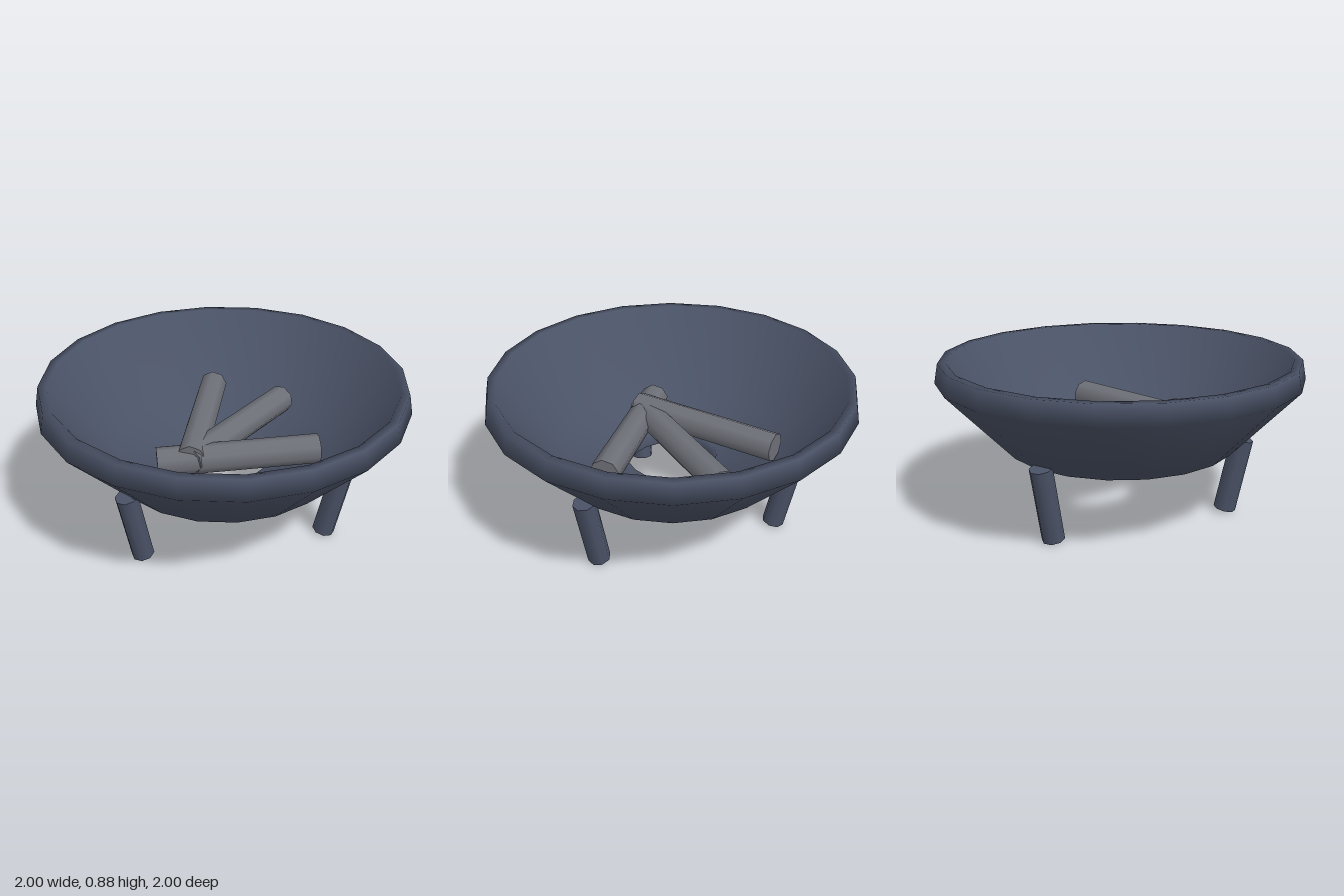
import * as THREE from 'three';

const UP = new THREE.Vector3(0, 1, 0);

// Round bar between two points
function bar(name, from, to, radius, sides, material) {
  const a = new THREE.Vector3(...from);
  const b = new THREE.Vector3(...to);
  const dir = b.clone().sub(a);
  const mesh = new THREE.Mesh(
    new THREE.CylinderGeometry(radius, radius, dir.length(), sides), material);
  mesh.name = name;
  mesh.position.copy(a).add(b).multiplyScalar(0.5);
  mesh.quaternion.setFromUnitVectors(UP, dir.normalize());
  return mesh;
}

export function createModel() {
  const group = new THREE.Group();
  group.name = 'fireBowl';
  const iron = new THREE.MeshStandardMaterial({ color: 0x4a5266 });
  const wood = new THREE.MeshStandardMaterial({ color: 0x6e7078 });

  // Bowl: thick shell with a flared rim and an open hole in the floor
  const profile = [
    [0.25, 0.31], [0.64, 0.40], [1.0, 0.78], [0.98, 0.885],
    [0.935, 0.885], [0.60, 0.47], [0.25, 0.39], [0.25, 0.31],
  ].map(([r, y]) => new THREE.Vector2(r, y));
  const bowl = new THREE.Mesh(new THREE.LatheGeometry(profile, 20), iron);
  bowl.name = 'bowl';
  group.add(bowl);

  // Three legs, leaning outwards towards the top
  for (let i = 0; i < 3; i++) {
    const angle = i * Math.PI * 2 / 3;
    const s = Math.sin(angle), c = Math.cos(angle);
    group.add(bar('leg', [0.594 * s, 0.016, 0.594 * c],
      [0.677 * s, 0.43, 0.677 * c], 0.062, 8, iron));
  }

  // Three logs meeting near the front of the bowl
  const logs = [
    [[-0.47, 0.55, -0.34], [0.095, 0.55, 0.32]],
    [[-0.085, 0.53, -0.54], [0.08, 0.535, 0.315]],
    [[0.457, 0.54, -0.275], [-0.04, 0.52, 0.44]],
  ];
  for (const [from, to] of logs) group.add(bar('log', from, to, 0.08, 8, wood));

  return group;
}
